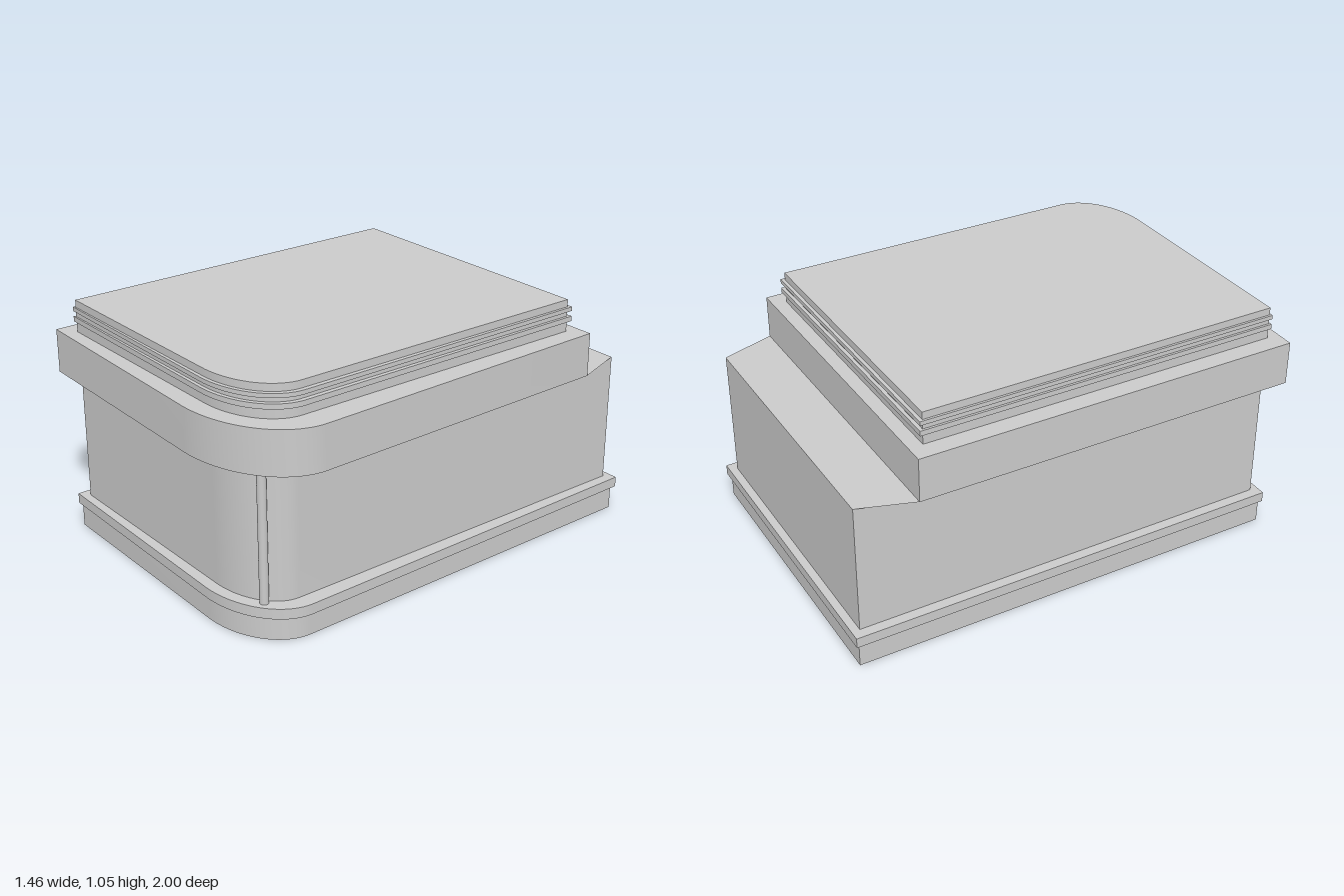
import * as THREE from 'three';
import { toCreasedNormals } from 'three/addons/utils/BufferGeometryUtils.js';

const material = new THREE.MeshStandardMaterial({ color: 0xcccccc });

// Plan outline with one elliptical corner at front left; the front and left sides splay slightly.
// x0/x1: right and left limits, zb/zf: back and front limits, rx/rz: corner radii.
function outline({ x0, x1, zb, zf, rx, rz, splayX = 0, splayZ = 0 }) {
  const shape = new THREE.Shape();
  shape.moveTo(x0, -(zf - splayZ));
  shape.lineTo(x1 - rx, -zf);
  shape.absellipse(x1 - rx, -(zf - rz), rx, rz, -Math.PI / 2, 0, false, 0);
  shape.lineTo(x1 - splayX, -zb);
  shape.lineTo(x0, -zb);
  shape.closePath();
  return shape;
}

function addLayer(group, name, y0, y1, plan) {
  const geometry = new THREE.ExtrudeGeometry(outline(plan), {
    depth: y1 - y0, bevelEnabled: false, curveSegments: 16,
  });
  geometry.rotateX(-Math.PI / 2);
  geometry.translate(0, y0, 0);
  const mesh = new THREE.Mesh(toCreasedNormals(geometry, 0.6), material);
  mesh.name = name;
  group.add(mesh);
}

export function createModel() {
  const group = new THREE.Group();
  group.name = 'building';

  // Plinth and its projecting lip
  addLayer(group, 'plinth', 0, 0.105,
    { x0: -0.68, x1: 0.655, zb: -0.985, zf: 0.95, rx: 0.34, rz: 0.24, splayX: 0.015, splayZ: 0.01 });
  addLayer(group, 'plinthLip', 0.105, 0.15,
    { x0: -0.695, x1: 0.68, zb: -1, zf: 0.965, rx: 0.36, rz: 0.25, splayX: 0.025, splayZ: 0.015 });

  // Main storey
  addLayer(group, 'mainBody', 0.15, 0.72,
    { x0: -0.65, x1: 0.61, zb: -0.965, zf: 0.915, rx: 0.29, rz: 0.19 });

  // Overhanging upper storey
  addLayer(group, 'upperStorey', 0.72, 0.91,
    { x0: -0.73, x1: 0.725, zb: -0.73, zf: 1, rx: 0.455, rz: 0.32, splayX: 0.035, splayZ: 0.025 });

  // Flat ledge tapering from the upper storey to the back wall
  const ledgeShape = new THREE.Shape([[-0.73, 0.73], [0.69, 0.73], [0.61, 0.965], [-0.65, 0.965]]
    .map(([x, y]) => new THREE.Vector2(x, y)));
  const ledge = new THREE.Mesh(new THREE.ShapeGeometry(ledgeShape),
    new THREE.MeshStandardMaterial({ color: 0xcccccc, side: THREE.DoubleSide }));
  ledge.geometry.rotateX(-Math.PI / 2);
  ledge.position.y = 0.721;
  ledge.name = 'backLedge';
  group.add(ledge);

  // Parapet with two thin string courses
  addLayer(group, 'parapet', 0.91, 1.05,
    { x0: -0.65, x1: 0.61, zb: -0.67, zf: 0.92, rx: 0.32, rz: 0.22 });
  for (const [y0, y1] of [[0.955, 0.977], [1.0, 1.018]]) {
    addLayer(group, 'parapetBand', y0, y1,
      { x0: -0.66, x1: 0.63, zb: -0.685, zf: 0.935, rx: 0.335, rz: 0.235, splayX: 0.008, splayZ: 0.008 });
  }

  // Corner column under the overhang
  const column = new THREE.Mesh(new THREE.CylinderGeometry(0.019, 0.019, 0.57, 16), material);
  column.position.set(0.557, 0.435, 0.855);
  column.name = 'cornerColumn';
  group.add(column);

  return group;
}
